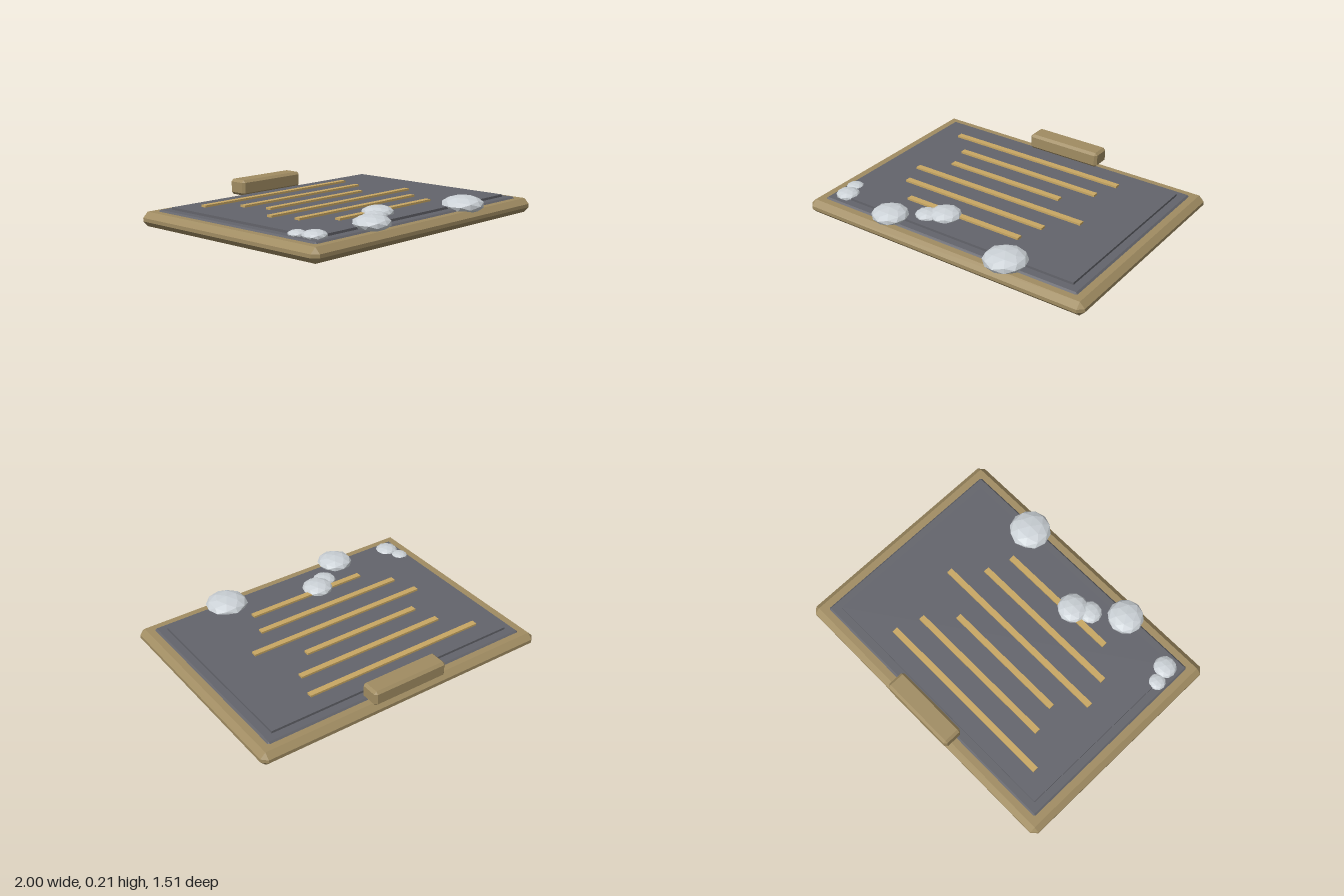
import * as THREE from 'three';
import { ConvexGeometry } from 'three/addons/geometries/ConvexGeometry.js';

const mat = (name, color) => {
  const m = new THREE.MeshStandardMaterial({ color, flatShading: true });
  m.name = name;
  return m;
};

// Box between two corners with every edge chamfered by c
function chamferBox([x0, y0, z0], [x1, y1, z1], c) {
  const half = [(x1 - x0) / 2, (y1 - y0) / 2, (z1 - z0) / 2];
  const points = [];
  for (const sx of [-1, 1]) for (const sy of [-1, 1]) for (const sz of [-1, 1]) {
    for (let full = 0; full < 3; full++) {
      const [x, y, z] = half.map((h, i) => (i === full ? h : h - c));
      points.push(new THREE.Vector3(sx * x, sy * y, sz * z));
    }
  }
  return new ConvexGeometry(points).translate((x0 + x1) / 2, (y0 + y1) / 2, (z0 + z1) / 2);
}

export function createModel() {
  const group = new THREE.Group();
  group.name = 'tablet';
  const wood = mat('wood', 0xa08c62);
  const slate = mat('slate', 0x63646b);
  const gold = mat('gold', 0xc8a763);
  const snow = mat('snow', 0xcbd1d6);

  const add = (name, geometry, material) => {
    const mesh = new THREE.Mesh(geometry, material);
    mesh.name = name;
    group.add(mesh);
    return mesh;
  };

  // Chamfered frame, with the slate slab showing above and below it
  add('frame', chamferBox([-1, 0.01, -0.74], [1, 0.1, 0.74], 0.034), wood);
  add('slab', chamferBox([-0.92, 0, -0.663], [0.92, 0.11, 0.663], 0.01), slate);
  add('writingSurface', new THREE.BoxGeometry(1.72, 0.03, 1.206), slate).position.y = 0.11;

  // Block at the back edge
  add('clip', chamferBox([-0.258, 0.11, -0.755], [0.258, 0.21, -0.625], 0.016), wood);

  // Raised lines: z, left end, right end
  const lines = [
    [-0.465, -0.73, 0.515], [-0.29, -0.57, 0.46], [-0.12, -0.52, 0.305],
    [0.052, -0.675, 0.57], [0.225, -0.62, 0.412], [0.397, -0.465, 0.36],
  ];
  lines.forEach(([z, x0, x1], i) => {
    add(`line${i + 1}`, new THREE.BoxGeometry(x1 - x0, 0.02, 0.038), gold)
      .position.set((x0 + x1) / 2, 0.128, z);
  });

  // Flattened snow clumps: x, y, z, radius
  const clumps = [
    [0.418, 0.125, 0.622, 0.135], [-0.428, 0.137, 0.625, 0.115],
    [-0.157, 0.133, 0.432, 0.1], [-0.25, 0.128, 0.49, 0.076],
    [-0.823, 0.12, 0.564, 0.074], [-0.854, 0.118, 0.461, 0.055],
  ];
  clumps.forEach(([x, y, z, r], i) => {
    const mesh = add(`snowClump${i + 1}`, new THREE.IcosahedronGeometry(r, 1), snow);
    mesh.scale.y = 0.42;
    mesh.position.set(x, y, z);
  });

  return group;
}
